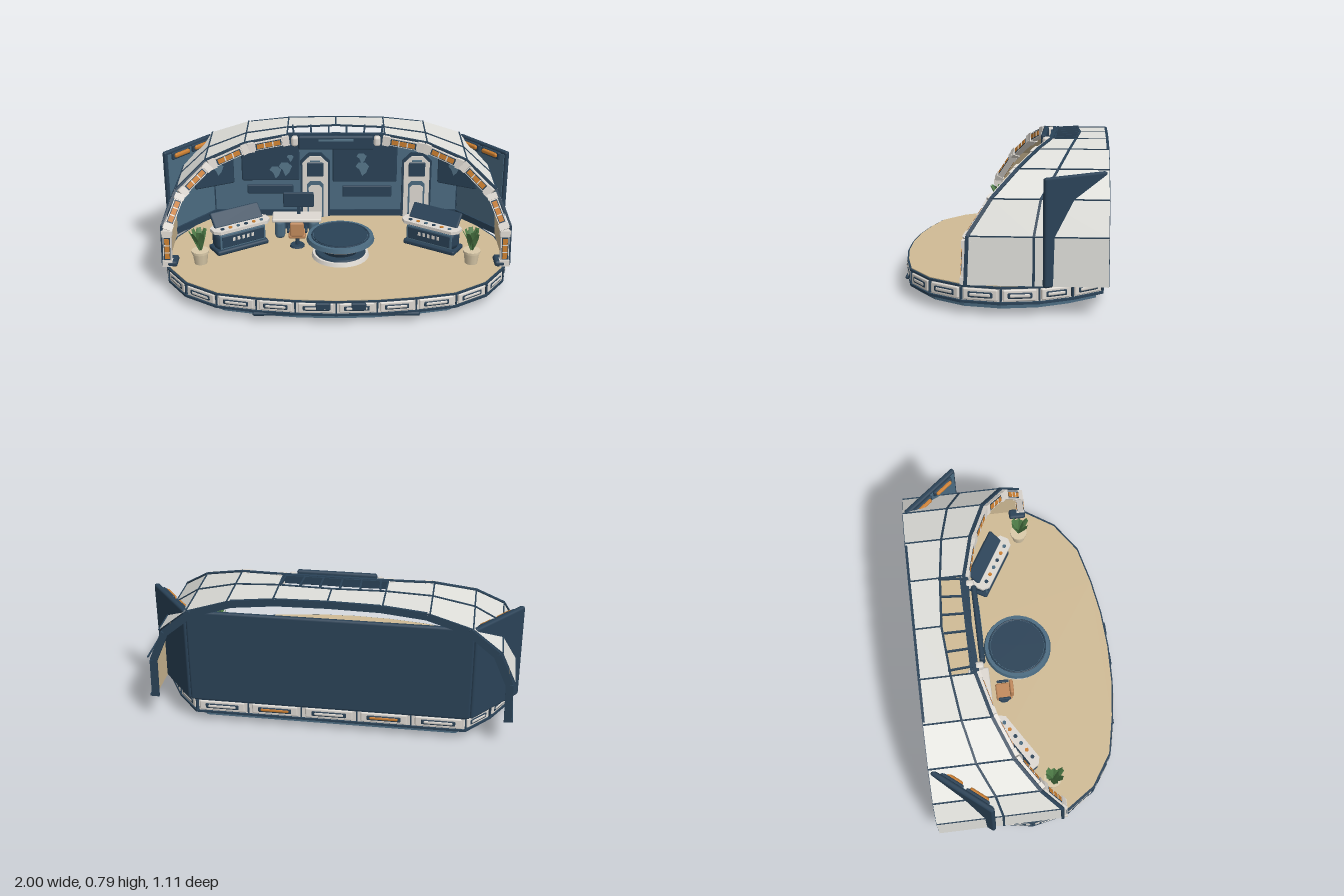
import * as THREE from 'three';
import { RoundedBoxGeometry } from 'three/addons/geometries/RoundedBoxGeometry.js';

const mat = (name, color, extra = {}) => Object.assign(new THREE.MeshStandardMaterial({ color, ...extra }), { name });
const V = (x, y, z) => new THREE.Vector3(x, y, z);

export function createModel() {
  const shellGrey = mat('shell grey', 0xe0e0db), trim = mat('light trim', 0xded9d2);
  const navy = mat('dark navy', 0x2a4257), blue = mat('steel blue', 0x4b6b81);
  const orange = mat('lamp orange', 0xcc7f30), tan = mat('floor tan', 0xd0bb95);
  const green = mat('leaf green', 0x4f7d48, { side: THREE.DoubleSide }), brown = mat('chair brown', 0xc28a5c);
  const glow = mat('screen glow', 0x557589), cream = mat('pot cream', 0xdacaa9);
  const model = new THREE.Group();

  // Helpers
  const add = (parent, name, geo, m, x = 0, y = 0, z = 0) => {
    const mesh = new THREE.Mesh(geo, m);
    mesh.name = name;
    mesh.position.set(x, y, z);
    parent.add(mesh);
    return mesh;
  };
  const group = (name, x, y, z, ry = 0, parent = model) => {
    const g = new THREE.Group();
    g.name = name;
    g.position.set(x, y, z);
    g.rotation.y = ry;
    parent.add(g);
    return g;
  };
  const box = (p, name, m, w, h, d, x, y, z) => add(p, name, new THREE.BoxGeometry(w, h, d), m, x, y, z);
  const soft = (p, name, m, w, h, d, x, y, z) =>
    add(p, name, new RoundedBoxGeometry(w, h, d, 1, Math.min(w, h, d) * 0.4), m, x, y, z);
  const cyl = (p, name, m, r1, r2, h, x, y, z, n = 24) => add(p, name, new THREE.CylinderGeometry(r1, r2, h, n), m, x, y, z);
  // Box between two points; its depth d runs along z for ribs that cross the model
  const bar = (p, name, m, a, b, w, d, up = V(0, 1, 0)) => {
    const mesh = box(p, name, m, w, d, a.distanceTo(b), 0, 0, 0);
    mesh.position.copy(a).lerp(b, 0.5);
    mesh.up.copy(up);
    mesh.lookAt(b);
    return mesh;
  };
  const plate = (p, name, m, pts, depth, x, y, z) => add(p, name, new THREE.ExtrudeGeometry(
    new THREE.Shape(pts.map(q => new THREE.Vector2(...q))), { depth, bevelEnabled: false }), m, x, y, z);
  const chamfer = (w, h, c) => [[-w / 2, 0], [w / 2, 0], [w / 2, h - c], [w / 2 - c, h], [c - w / 2, h], [-w / 2, h - c]];

  // Platform: faceted oval with a straight back
  const half = [[0, .55], [.22, .54], [.43, .51], [.65, .46], [.83, .34], [.945, .17], [.985, -.03], [.95, -.22], [.86, -.38], [.73, -.53], [.44, -.53], [.15, -.53]];
  const outline = [...half, ...half.slice(1).reverse().map(([x, z]) => [-x, z])];
  const slab = (name, m, k, y, h) => {
    const mesh = plate(model, name, m, outline.map(([x, z]) => [x * k, -z * k]), h, 0, y, 0);
    mesh.rotation.x = -Math.PI / 2;
  };
  slab('underside', blue, .91, .015, .008);
  slab('plinth', blue, .93, .02, .04);
  slab('lowerRim', navy, 1, .055, .012);
  slab('platformBand', trim, .985, .066, .069);
  slab('upperRim', navy, 1, .134, .01);
  slab('floor', tan, .985, .142, .006);
  outline.forEach(([x, z], i) => {
    const [x2, z2] = outline[(i + 1) % outline.length];
    const len = Math.hypot(x2 - x, z2 - z);
    const g = group('bandModule', (x + x2) / 2, .1, (z + z2) / 2, Math.atan2(z - z2, x2 - x));
    soft(g, 'moduleFrame', trim, len * .86, .058, .02, 0, 0, -.01);
    soft(g, 'modulePanel', navy, len * .64, .034, .02, 0, 0, -.007);
    soft(g, 'moduleLamp', i === 10 || i === 12 ? orange : trim, len * .54, .02, .022, 0, 0, -.005);
    box(g, 'moduleJoint', navy, .008, .06, .02, len / 2, 0, -.012);
  });
  for (const x of [-.07, .12]) soft(model, 'frontClasp', navy, .08, .046, .02, x, .11, .543);
  for (const s of [-1, 1]) {
    cyl(model, 'foot', orange, .052, .05, .014, s * .62, .01, .1, 16);
    cyl(model, 'footPad', navy, .05, .05, .003, s * .62, .0015, .1, 16);
  }
  soft(model, 'frontStep', navy, .9, .022, .07, 0, .048, .485);

  // Canopy: x, y, front z, seam z for each rib from the crown down
  const ribs = [[0, .785, -.26, -.4], [.28, .78, -.25, -.38], [.52, .755, -.19, -.35], [.74, .685, -.1, -.3], [.895, .56, .02, -.22], [.97, .39, .13, -.19], [.975, .15, .14, -.19]];
  const profile = [...ribs.slice(1).reverse().map(([x, ...r]) => [-x, ...r]), ...ribs];
  const rows = [0, 1, 2].map(j => profile.map(([x, y, f, s]) => V(x, y, [f, s, -.55][j])));
  const inset = (p, drop, dz = 0) => V(p.x * .97, p.y - (p.y > .2 ? drop : 0), p.z + dz);
  const skin = inner => {
    const pos = [];
    const put = p => pos.push(...(inner ? inset(p, .015) : p).toArray());
    for (let j = 0; j < 2; j++) for (let i = 0; i < 12; i++) {
      if (j === 0 && (i === 5 || i === 6)) continue;   // open skylight
      const a = rows[j][i], b = rows[j][i + 1], c = rows[j + 1][i], d = rows[j + 1][i + 1];
      (inner ? [a, d, b, a, c, d] : [a, b, d, a, d, c]).forEach(put);
    }
    const g = new THREE.BufferGeometry();
    g.setAttribute('position', new THREE.Float32BufferAttribute(pos, 3));
    g.computeVertexNormals();
    return g;
  };
  const alongZ = V(0, 0, 1);
  const canopy = group('canopy', 0, 0, 0);
  add(canopy, 'canopyOuter', skin(false), shellGrey);
  add(canopy, 'canopyLining', skin(true), tan);
  for (let i = 0; i < 12; i++) {
    if (i > 0) {
      if (i !== 6) bar(canopy, 'ribSeam', navy, rows[0][i], rows[1][i], .008, .006);
      bar(canopy, 'ribSeam', navy, rows[1][i], rows[2][i], .008, .006);
    }
    bar(canopy, 'crossSeam', navy, rows[1][i], rows[1][i + 1], .008, .012, alongZ);
    bar(canopy, 'backFrame', navy, inset(rows[2][i], .018, .004), inset(rows[2][i + 1], .018, .004), .04, .014, alongZ);
  }
  for (const s of [-1, 1]) bar(canopy, 'bottomEdge', navy, V(s * .965, .157, .14), V(s * .965, .157, -.55), .018, .014);

  // Front arch with lamps
  const arch = group('frontArch', 0, 0, 0);
  for (let i = 0; i < 12; i++) {
    const a = rows[0][i], b = rows[0][i + 1];
    const at = t => inset(a, .025, .004).lerp(inset(b, .025, .004), t);
    const piece = (name, m, t0, t1, w, d) => bar(arch, name, m, at(t0), at(t1), w, d, alongZ);
    bar(arch, 'archEdge', navy, a, b, .012, .018, alongZ);
    if (i === 5 || i === 6) {
      piece('archBeam', navy, 0, 1, .036, .036);
      continue;
    }
    piece('archBeam', trim, 0, 1, .046, .036);
    piece('archCollar', trim, 0, .16, .056, .048);
    piece('archCollar', trim, .84, 1, .056, .048);
    piece('archBezel', navy, .19, .81, .036, .04);
    piece('archLamp', orange, .22, .78, .027, .046);
    for (const t of [.4, .6]) piece('lampClip', trim, t - .015, t + .015, .03, .05);
  }
  for (const s of [-1, 1]) soft(arch, 'archFoot', navy, .06, .035, .1, s * .92, .165, .12);
  soft(arch, 'headerPanel', navy, .43, .085, .03, 0, .752, -.205);
  box(arch, 'headerStrip', glow, .2, .012, .005, 0, .772, -.19);
  for (const s of [-1, 1]) soft(arch, 'headerBracket', trim, .04, .06, .05, s * .235, .755, -.225);

  // Skylight bars
  for (let i = 0; i < 6; i++) {
    const x = -.24 + i * .1;
    bar(canopy, 'skylightBar', navy, V(x, .78, -.25), V(x * 1.05, .787, -.39), .01, .012);
  }
  bar(canopy, 'skylightRail', navy, V(-.28, .78, -.27), V(.28, .78, -.27), .01, .012);

  // Back wall and angled side walls
  const wall = (name, x, z, ry, w) => {
    const g = group(name, x, 0, z, ry);
    soft(g, 'wallSlab', navy, w, .535, .03, 0, .412, 0);
    box(g, 'wallFace', blue, w - .03, .5, .008, 0, .41, .015);
    box(g, 'wallBase', navy, w - .02, .04, .02, 0, .17, .02);
    return g;
  };
  const back = wall('backWall', 0, -.535, 0, 1.5);
  soft(back, 'wallLamp', orange, 1.15, .022, .02, 0, .648, .024);
  const screen = (p, x, y, z, w, h, blobs) => {
    soft(p, 'screenFrame', navy, w, h, .025, x, y, z);
    for (const [bx, by, k] of blobs) plate(p, 'screenMap', glow,
      [[-.05, .02], [-.02, -.01], [0, -.06], [.03, -.03], [.05, .02], [.02, .05], [-.03, .05]].map(([u, v]) => [u * k, v * k]), .003, x + bx, y + by, z + .012);
  };
  screen(back, -.395, .51, .03, .35, .24, [[.03, -.06, .7], [.09, -.04, .8], [.12, .03, .4]]);
  screen(back, .175, .51, .03, .39, .26, [[-.02, .03, .6], [-.015, -.04, .8]]);
  soft(back, 'wallPanel', navy, .3, .075, .02, .19, .315, .025);
  soft(back, 'wallPanel', navy, .28, .06, .02, -.4, .33, .025);
  for (const x of [-.125, .49]) {
    plate(back, 'doorSurround', navy, chamfer(.18, .42, .055), .02, x, .15, .015);
    plate(back, 'doorFrame', trim, chamfer(.155, .4, .045), .03, x, .15, .015);
    plate(back, 'doorLeaf', blue, chamfer(.1, .24, .02), .006, x, .15, .042);
    plate(back, 'doorPanel', trim, chamfer(.08, .21, .016), .006, x, .155, .045);
    soft(back, 'doorWindow', navy, .1, .09, .012, x, .465, .045);
    soft(back, 'doorLight', glow, .06, .012, .006, x, .52, .046);
  }
  for (const s of [-1, 1]) {
    const side = wall('sideWall', s * .87, -.388, -s * .884, .385);
    for (const x of [-.08, .08]) {
      soft(side, 'sideLampFrame', navy, .14, .045, .02, x, .645, .022);
      soft(side, 'sideLamp', orange, .115, .026, .034, x, .648, .03);
    }
    const hung = group('sideScreen', s * .73, 0, -.44, -s * .45);
    screen(hung, 0, .49, 0, .25, .22, [[-s * .02, 0, .7]]);
  }

  // Angled control desks
  for (const s of [-1, 1]) {
    const d = group('controlDesk', s * .56, 0, -.09, -s * .55);
    soft(d, 'deskBase', navy, .33, .03, .13, 0, .162, -.01);
    soft(d, 'deskBody', navy, .32, .13, .11, 0, .225, -.01);
    soft(d, 'deskFrontFrame', blue, .29, .09, .008, 0, .227, .045);
    soft(d, 'deskFront', navy, .27, .072, .012, 0, .227, .046);
    const top = plate(d, 'deskTop', trim, [[-.18, -.02], [-.15, -.05], [.15, -.05], [.18, -.02], [.18, .03], [.15, .055], [-.15, .055], [-.18, .03]], .018, 0, .288, .02);
    top.rotation.x = -Math.PI / 2;
    const scr = soft(d, 'deskScreen', navy, .31, .1, .022, 0, .334, -.032);
    scr.rotation.x = -.75;
    for (let i = 0; i < 6; i++)
      cyl(d, 'deskButton', [navy, orange, blue][i % 3], .011, .011, .006, -.125 + i * .05, .308, .04, 10);
    for (let i = 0; i < 5; i++) box(d, 'deskVent', trim, .016, .022, .006, -.06 + i * .03, .235, .051);
  }

  // Work desk, monitor and chair
  const desk = group('workDesk', -.23, 0, -.23);
  soft(desk, 'workTop', trim, .29, .024, .12, 0, .272, 0);
  for (const s of [-1, 1]) soft(desk, 'workLeg', blue, .06, .12, .09, s * .1, .205, 0);
  box(desk, 'workBack', navy, .22, .07, .012, 0, .22, -.03);
  soft(desk, 'monitor', navy, .18, .095, .018, .01, .375, -.02);
  box(desk, 'monitorStand', navy, .02, .06, .015, .01, .305, -.025);
  const chair = group('chair', -.225, 0, -.1);
  soft(chair, 'chairSeat', brown, .1, .025, .09, 0, .225, 0);
  soft(chair, 'chairBack', brown, .08, .085, .022, 0, .275, .045);
  for (const s of [-1, 1]) soft(chair, 'chairArm', navy, .014, .02, .07, s * .052, .255, 0);
  cyl(chair, 'chairPost', navy, .012, .012, .06, 0, .185, 0, 8);
  cyl(chair, 'chairFoot', navy, .04, .045, .012, 0, .153, 0, 10);

  // Round table: name, colour, top radius, bottom radius, height, y
  const table = group('roundTable', .025, 0, .01);
  for (const [name, m, r1, r2, h, y] of [
    ['tableFoot', trim, .158, .165, .022, .158], ['tableFootTrim', navy, .14, .145, .012, .174],
    ['tableColumn', navy, .13, .1, .05, .2], ['tableLamp', orange, .15, .15, .007, .227],
    ['tableCollar', trim, .182, .165, .018, .24], ['tableRim', blue, .187, .194, .024, .261],
    ['tableTop', navy, .154, .154, .006, .274]]) cyl(table, name, m, r1, r2, h, 0, y, 0, 32);
  add(table, 'tableRing', new THREE.TorusGeometry(.162, .005, 6, 32), navy, 0, .273, 0).rotation.x = Math.PI / 2;

  // Potted plants
  for (const s of [-1, 1]) {
    const p = group('plant', s * .765, 0, .11);
    cyl(p, 'pot', cream, .046, .036, .075, 0, .185, 0, 12);
    cyl(p, 'potRim', cream, .05, .05, .014, 0, .22, 0, 12);
    for (let i = 0; i < 9; i++) {
      const leaf = new THREE.PlaneGeometry(.034, .12 + (i % 3) * .012, 2, 4).translate(0, .064, 0);
      const q = leaf.attributes.position;
      for (let k = 0; k < q.count; k++) {
        const t = Math.max(0, q.getY(k) / .14);
        q.setX(k, q.getX(k) * (.35 + 2.6 * t * (1.08 - t)));
        q.setZ(k, t * t * .025 + Math.abs(q.getX(k)) * .3);
      }
      leaf.computeVertexNormals();
      add(p, 'leaf', leaf, green, 0, .225, 0).rotation.set(.05 + (i % 3) * .1, i * 2.4, 0, 'YXZ');
    }
  }
  return model;
}
